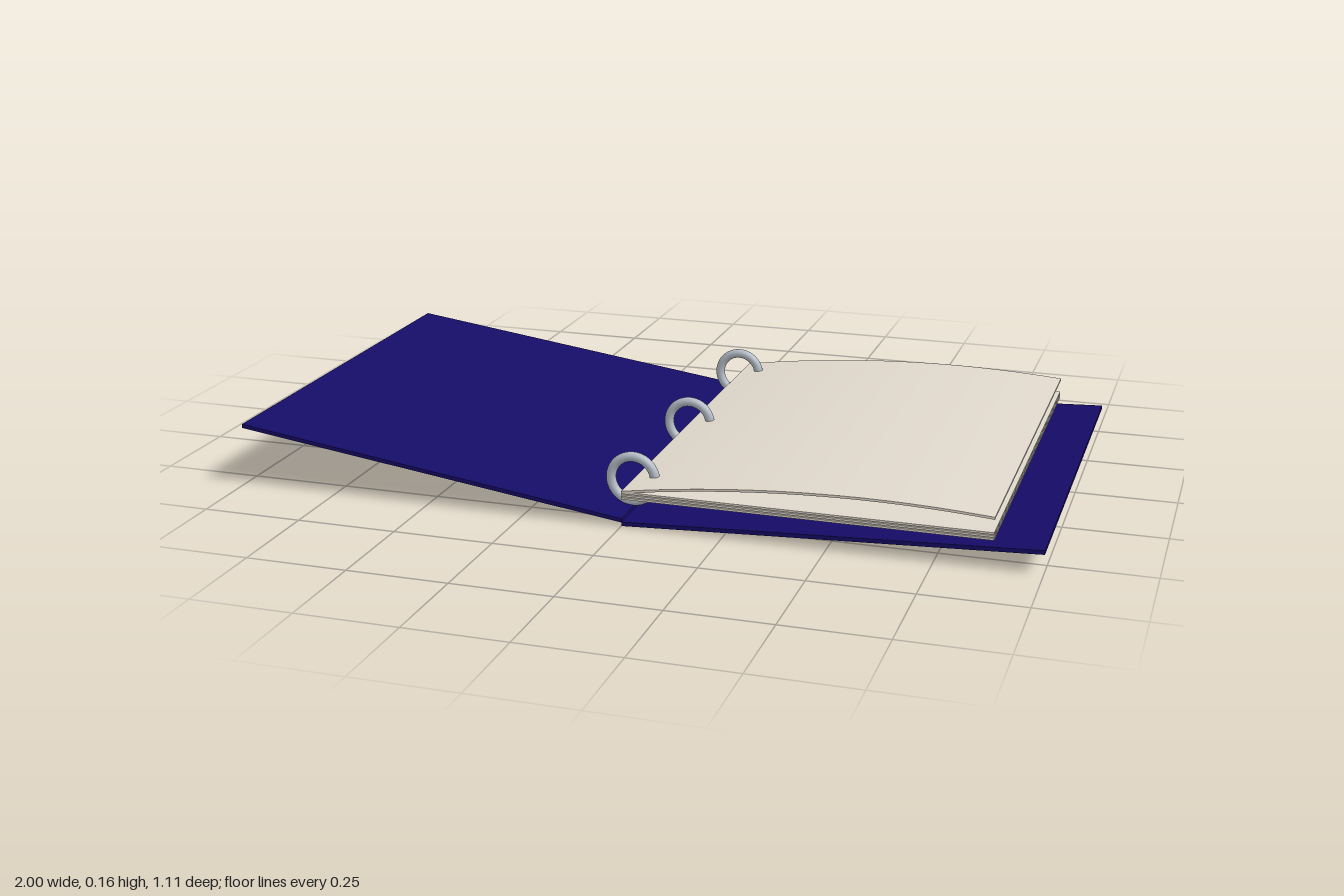
import * as THREE from 'three';

const DEPTH = 1.11;

// Extrude a thin strip of given thickness along a list of (x, y) centre points
function strip(name, points, thickness, material) {
  const h = thickness / 2;
  const upper = points.map(([x, y]) => new THREE.Vector2(x, y + h));
  const lower = points.map(([x, y]) => new THREE.Vector2(x, y - h)).reverse();
  const geometry = new THREE.ExtrudeGeometry(new THREE.Shape([...lower, ...upper]), {
    depth: DEPTH, bevelEnabled: false,
  });
  geometry.translate(0, 0, -DEPTH / 2);
  const mesh = new THREE.Mesh(geometry, material);
  mesh.name = name;
  return mesh;
}

export function createModel() {
  const model = new THREE.Group();
  model.name = 'openRingBinder';
  const coverMat = new THREE.MeshStandardMaterial({ color: 0x150c66 });
  const paperMat = new THREE.MeshStandardMaterial({ color: 0xe0d8cc });
  const metalMat = new THREE.MeshStandardMaterial({ color: 0xb4bcc6 });

  // Two tilted covers meeting at the spine
  model.add(strip('leftCover', [[0, 0.005], [1, 0.052]], 0.01, coverMat));
  model.add(strip('rightCover', [[-1, 0.151], [0, 0.014]], 0.01, coverMat));

  // Flat stack of pages
  for (const y of [0.07, 0.077, 0.084]) {
    model.add(strip('flatPage', [[0, y], [0.885, y]], 0.005, paperMat));
  }

  // Top page arching up from the rings
  const arch = [];
  for (let i = 0; i <= 20; i++) {
    const x = (0.885 * i) / 20;
    arch.push([x, 0.085 + 0.163 * x - 0.139 * x * x]);
  }
  model.add(strip('archedPage', arch, 0.006, paperMat));

  // Three binder rings
  for (const z of [-0.47, 0, 0.455]) {
    const ring = new THREE.Mesh(new THREE.TorusGeometry(0.056, 0.012, 16, 48), metalMat);
    ring.name = 'binderRing';
    ring.position.set(-0.004, 0.085, z);
    model.add(ring);
  }
  return model;
}
